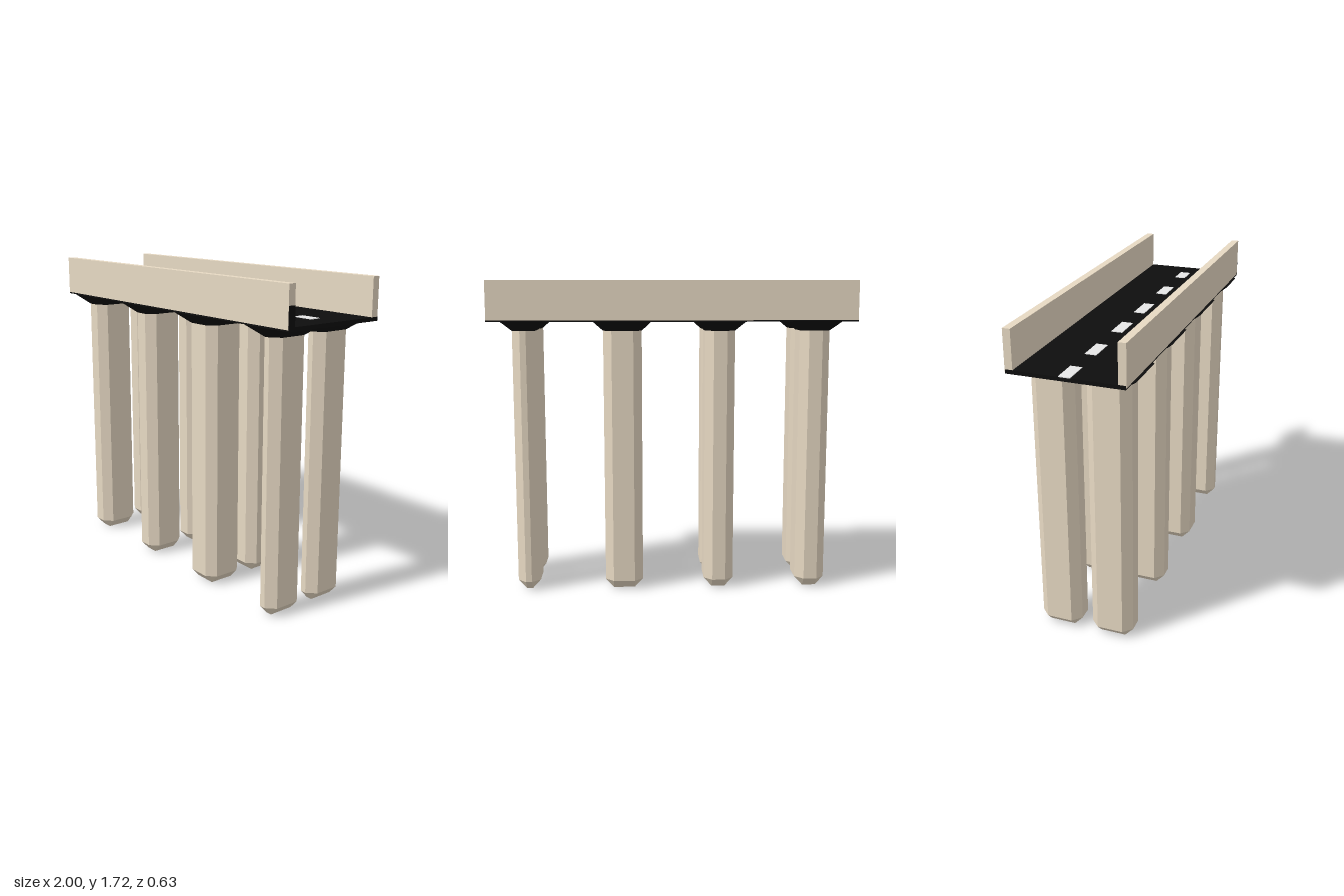
import * as THREE from 'three';

const concrete = new THREE.MeshStandardMaterial({ name: 'concrete', color: 0xe7d9c3 });
const asphalt = new THREE.MeshStandardMaterial({ name: 'asphalt', color: 0x0e0e0e });
const paint = new THREE.MeshStandardMaterial({ name: 'roadPaint', color: 0xe6e6e6 });

// Rectangle with cut corners, counter-clockwise seen from above
function ring(y, hx, hz, c) {
  const a = hx - c, b = hz - c;
  return [[-a, hz], [a, hz], [hx, b], [hx, -b], [a, -hz], [-a, -hz], [-hx, -b], [-hx, b]]
    .map(([x, z]) => new THREE.Vector3(x, y, z));
}

// Closed, flat-faced solid through rings listed from bottom to top
function loft(rings) {
  const points = [];
  for (let r = 0; r < rings.length - 1; r++) {
    const p = rings[r], q = rings[r + 1];
    for (let i = 0; i < 8; i++) {
      const j = (i + 1) % 8;
      points.push(p[i], p[j], q[j], p[i], q[j], q[i]);
    }
  }
  const low = rings[0], high = rings[rings.length - 1];
  for (let i = 1; i < 7; i++) {
    points.push(low[0], low[i + 1], low[i], high[0], high[i], high[i + 1]);
  }
  const geometry = new THREE.BufferGeometry().setFromPoints(points);
  geometry.computeVertexNormals();
  return geometry;
}

// Box given by its limits on each axis
function box(name, material, [x0, x1], [y0, y1], [z0, z1]) {
  const mesh = new THREE.Mesh(new THREE.BoxGeometry(x1 - x0, y1 - y0, z1 - z0), material);
  mesh.name = name;
  mesh.position.set((x0 + x1) / 2, (y0 + y1) / 2, (z0 + z1) / 2);
  return mesh;
}

// Pillar with a bevelled foot and a dark flared head under the deck
function pillar(hx, hz) {
  const c = 0.046, flare = 0.053;
  const group = new THREE.Group();
  group.name = 'pillar';
  const shaft = new THREE.Mesh(loft([
    ring(0, hx - c, hz - c, 0), ring(0.05, hx, hz, c), ring(1.45, hx, hz, c),
  ]), concrete);
  shaft.name = 'pillarShaft';
  const head = new THREE.Mesh(loft([
    ring(1.45, hx, hz, c), ring(1.503, hx + flare, hz + flare, 0.012),
  ]), asphalt);
  head.name = 'pillarHead';
  group.add(shaft, head);
  return group;
}

export function createModel() {
  const bridge = new THREE.Group();
  bridge.name = 'bridge';

  // Road deck
  bridge.add(box('deck', asphalt, [-1, 1], [1.5, 1.52], [-0.298, 0.298]));

  // Side walls
  bridge.add(box('frontWall', concrete, [-0.998, 0.998], [1.508, 1.72], [0.26, 0.3]));
  bridge.add(box('backWall', concrete, [-0.998, 0.998], [1.508, 1.72], [-0.3, -0.26]));

  // Dark end patch on the front wall
  bridge.add(box('wallEndPatch', asphalt, [0.997, 1], [1.5, 1.62], [0.26, 0.3]));

  // Centre line dashes
  const dashes = [[-1, -0.86], [-0.69, -0.54], [-0.34, -0.18], [0, 0.17], [0.38, 0.53], [0.75, 0.87]];
  for (const span of dashes) {
    bridge.add(box('laneDash', paint, span, [1.519, 1.523], [-0.03, 0.03]));
  }

  // Pillars in pairs
  const spans = [[-0.86, -0.695], [-0.34, -0.175], [0.17, 0.38], [0.747, 0.872]];
  for (const [x0, x1] of spans) {
    for (const side of [1, -1]) {
      const p = pillar((x1 - x0) / 2, 0.115);
      p.position.set((x0 + x1) / 2, 0, side * 0.145);
      bridge.add(p);
    }
  }
  return bridge;
}
